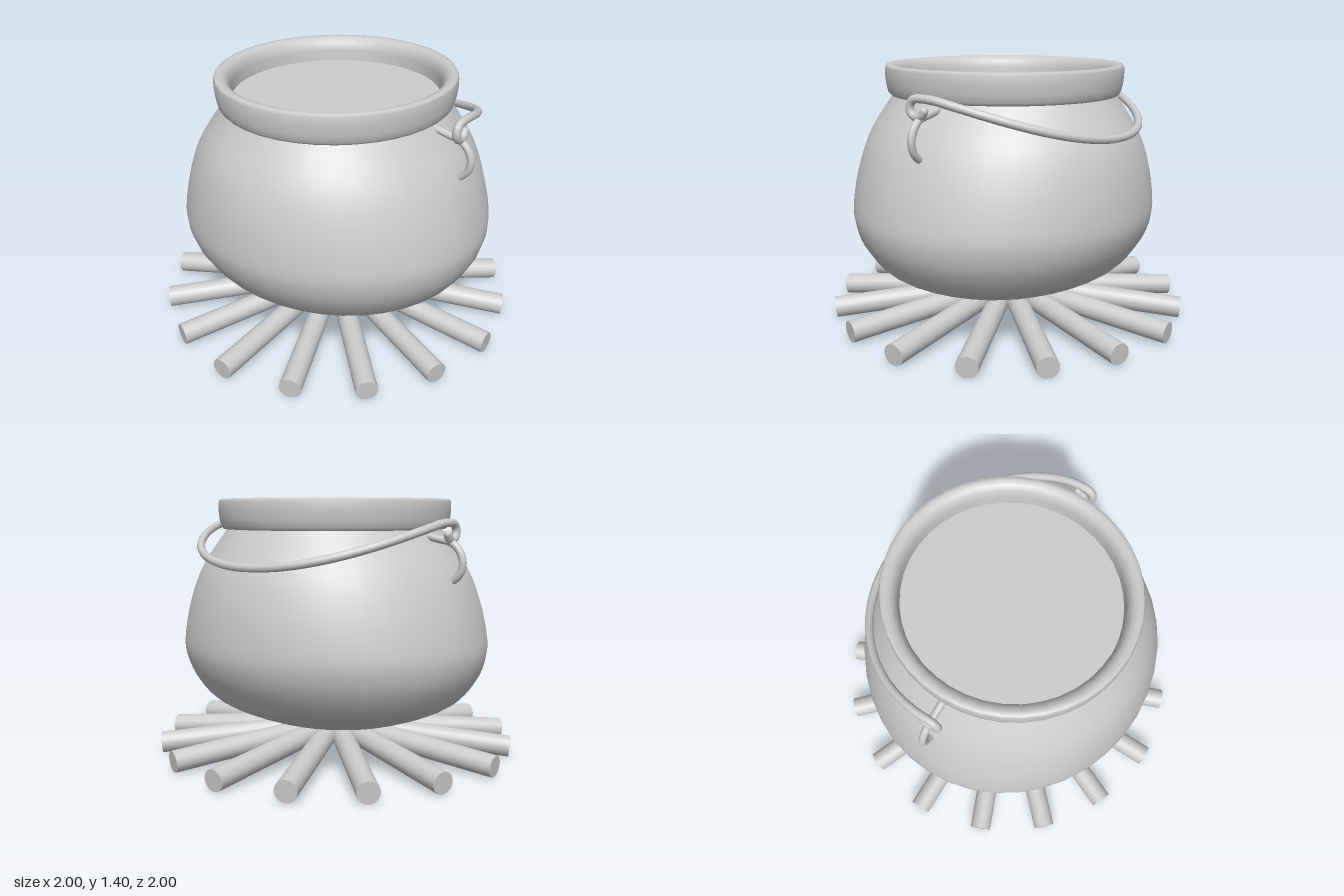
import * as THREE from 'three';
import { mergeVertices } from 'three/addons/utils/BufferGeometryUtils.js';

const material = new THREE.MeshStandardMaterial({ color: 0xcccccc });
const v = (x, y, z) => new THREE.Vector3(x, y, z);
const CENTER = 0.015; // the pot sits slightly off the middle of the fire

function addMesh(parent, name, geometry) {
  const mesh = new THREE.Mesh(geometry, material);
  mesh.name = name;
  parent.add(mesh);
  return mesh;
}

// Turned shape whose width in x is stretched by a rule of height
function turned(points, stretch) {
  const geo = new THREE.LatheGeometry(points.map(([r, y]) => new THREE.Vector2(r, y)), 40);
  const pos = geo.attributes.position;
  for (let i = 0; i < pos.count; i++) pos.setX(i, pos.getX(i) * stretch(pos.getY(i)));
  geo.deleteAttribute('normal');
  geo.deleteAttribute('uv');
  const merged = mergeVertices(geo, 1e-4);
  merged.computeVertexNormals();
  return merged;
}

// Bent round wire with rounded ends
function wire(parent, name, points, radius, segments) {
  const group = new THREE.Group();
  group.name = name;
  const curve = new THREE.CatmullRomCurve3(points);
  addMesh(group, name + 'Wire', new THREE.TubeGeometry(curve, segments, radius, 10));
  for (const p of [points[0], points[points.length - 1]]) {
    addMesh(group, name + 'End', new THREE.SphereGeometry(radius, 10, 8)).position.copy(p);
  }
  parent.add(group);
}

export function createModel() {
  const model = new THREE.Group();
  model.name = 'cauldronOnFire';

  // Pot, rim and contents
  const pot = new THREE.Group();
  pot.name = 'cauldron';
  pot.position.set(CENTER, 0, CENTER);
  model.add(pot);

  const profile = new THREE.SplineCurve([
    [0.001, 0.145], [0.25, 0.165], [0.45, 0.22], [0.645, 0.315], [0.755, 0.44],
    [0.81, 0.56], [0.822, 0.67], [0.8, 0.86], [0.742, 1.05], [0.625, 1.24], [0.6, 1.28],
  ].map(([r, y]) => new THREE.Vector2(r, y)));
  const bodyPoints = profile.getPoints(36).map((p) => [Math.max(p.x, 0), p.y]);
  bodyPoints[0][0] = 0;
  addMesh(pot, 'body', turned(bodyPoints, (y) => 1.12 - 0.167 * (y - 0.2)));

  addMesh(pot, 'rim', turned([
    [0.58, 1.25], [0.628, 1.25], [0.641, 1.265], [0.65, 1.3], [0.656, 1.35], [0.655, 1.395],
    [0.648, 1.41], [0.625, 1.412], [0.6, 1.402], [0.58, 1.38], [0.569, 1.34], [0.566, 1.24],
  ], () => 0.97));

  const contents = addMesh(pot, 'contents', new THREE.CircleGeometry(0.57, 40));
  contents.rotation.x = -Math.PI / 2;
  contents.scale.x = 0.98;
  contents.position.y = 1.28;

  // Curved lugs on both sides
  for (const side of [1, -1]) {
    const lug = [[0.57, 1.225], [0.66, 1.205], [0.745, 1.185], [0.79, 1.14], [0.806, 1.085],
      [0.79, 1.03], [0.735, 0.985], [0.7, 0.98]];
    wire(model, side > 0 ? 'leftLug' : 'rightLug',
      lug.map(([x, y]) => v(CENTER + side * x, y, 0)), 0.02, 36);
  }

  // Bail: an eye curled round each lug, joined by the arc lying back
  const eye = (x) => Array.from({ length: 9 }, (_, i) => {
    const a = -Math.PI * 0.9 + (i / 8) * Math.PI * 1.3;
    return v(x, 1.243 + 0.045 * Math.sin(a), 0.012 + 0.045 * Math.cos(a));
  });
  const arc = [];
  for (let i = 1; i < 28; i++) {
    const t = (i / 28) * Math.PI;
    const s = Math.sin(t);
    arc.push(v(0.02 + 0.74 * Math.cos(t), 1.295 - 0.225 * s ** 1.4, -0.72 * s));
  }
  wire(model, 'bail', [...eye(0.76), ...arc, ...eye(-0.72).reverse()], 0.022, 160);

  // Logs fanned out like spokes, rising towards the middle
  const logs = new THREE.Group();
  logs.name = 'firewood';
  model.add(logs);
  const RADIUS = 0.058;
  for (let i = 0; i < 16; i++) {
    const a = (i / 16) * Math.PI * 2;
    const reach = i % 4 === 0 ? 0.996 : 0.982;
    const outer = v(Math.cos(a) * reach, 0.066, Math.sin(a) * reach);
    const inner = v(0, 0.145, 0);
    const log = addMesh(logs, 'log', new THREE.CylinderGeometry(RADIUS, RADIUS, outer.distanceTo(inner), 20));
    log.position.copy(outer).add(inner).multiplyScalar(0.5);
    log.quaternion.setFromUnitVectors(v(0, 1, 0), outer.clone().sub(inner).normalize());
  }

  return model;
}
